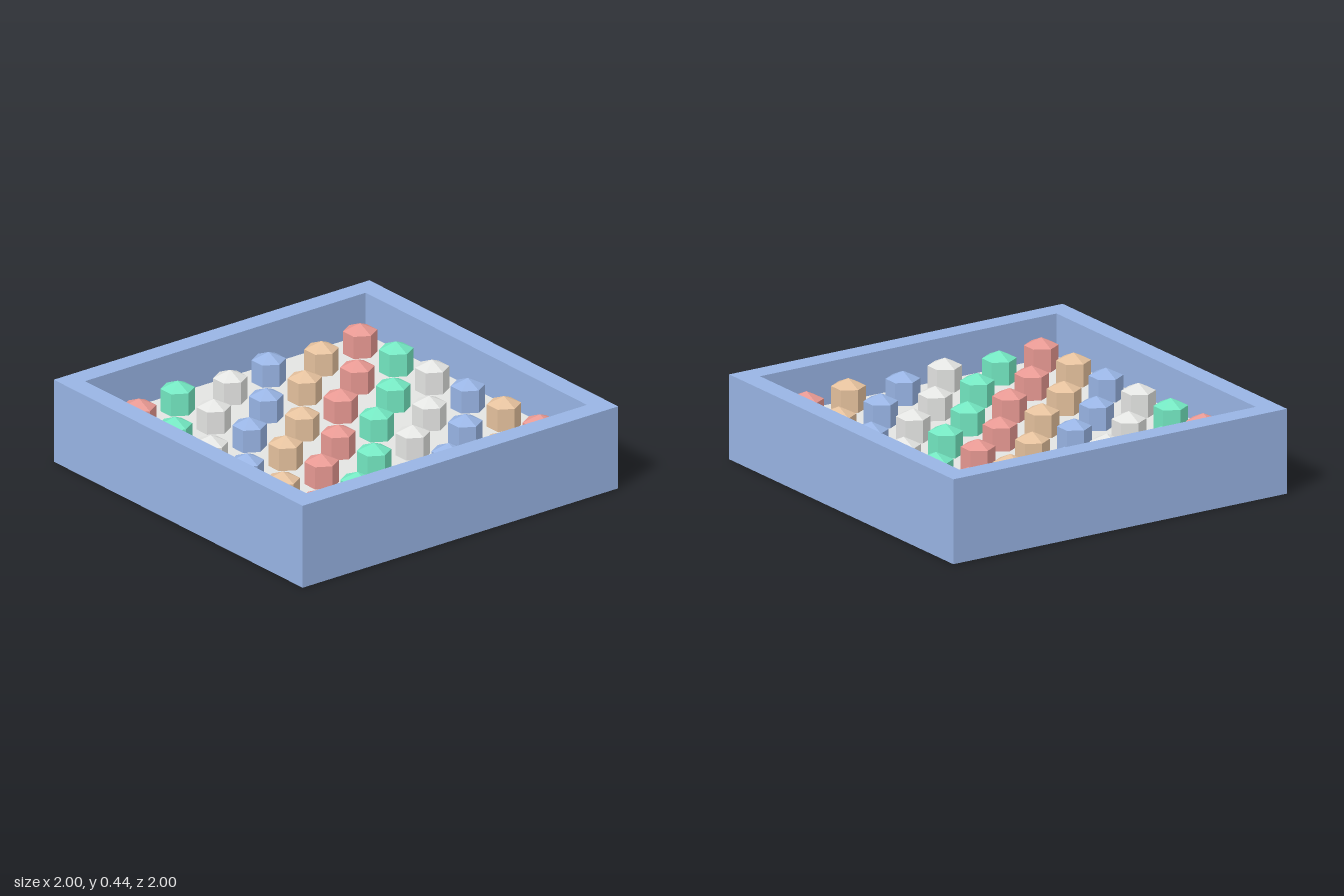
import * as THREE from 'three';

const paint = (name, color) => {
  const m = new THREE.MeshStandardMaterial({ color, flatShading: true });
  m.name = name;
  return m;
};

export function createModel() {
  const blue = paint('blue', 0x98b4e4);
  const grey = paint('light grey', 0xe3e4e2);
  const red = paint('red', 0xe89993);
  const tan = paint('tan', 0xe5c19d);
  const green = paint('green', 0x74e9c3);

  const model = new THREE.Group();
  model.name = 'pegTray';
  const add = (parent, name, geometry, material, x, y, z) => {
    const mesh = new THREE.Mesh(geometry, material);
    mesh.name = name;
    mesh.position.set(x, y, z);
    parent.add(mesh);
  };

  const HEIGHT = 0.445, INNER = 0.889, FLOOR = 0.222;

  // Square rim with an open middle
  const square = (Type, s) => new Type([[-s, -s], [s, -s], [s, s], [-s, s]].map(([x, y]) => new THREE.Vector2(x, y)));
  const outline = square(THREE.Shape, 1);
  outline.holes.push(square(THREE.Path, INNER));
  const rim = new THREE.ExtrudeGeometry(outline, { depth: HEIGHT, bevelEnabled: false });
  rim.rotateX(-Math.PI / 2);
  add(model, 'rim', rim, blue, 0, 0, 0);

  // Floor slab, flush with the underside of the rim
  add(model, 'floor', new THREE.BoxGeometry(INNER * 2, FLOOR, INNER * 2), grey, 0, FLOOR / 2, 0);

  // Six staggered rows of pointed hexagonal pegs, colours shifting by one per row
  const R = 0.0867, BODY = 0.12, TIP = 0.04, PITCH = 0.289;
  const body = new THREE.CylinderGeometry(R, R, BODY, 6, 1, true, Math.PI / 2);
  const tip = new THREE.ConeGeometry(R, TIP, 6, 1, true, Math.PI / 2);
  const colors = [red, green, grey, blue, tan];
  for (let row = 0; row < 6; row++) {
    for (let col = 0; col < 6; col++) {
      const peg = new THREE.Group();
      peg.name = 'peg';
      peg.position.set((col - 2.5) * PITCH + (row % 2) * 0.056, FLOOR, (row - 2.5) * PITCH);
      const material = colors[(col - row + 10) % 5];
      add(peg, 'pegBody', body, material, 0, BODY / 2, 0);
      add(peg, 'pegTip', tip, material, 0, BODY + TIP / 2, 0);
      model.add(peg);
    }
  }
  return model;
}
